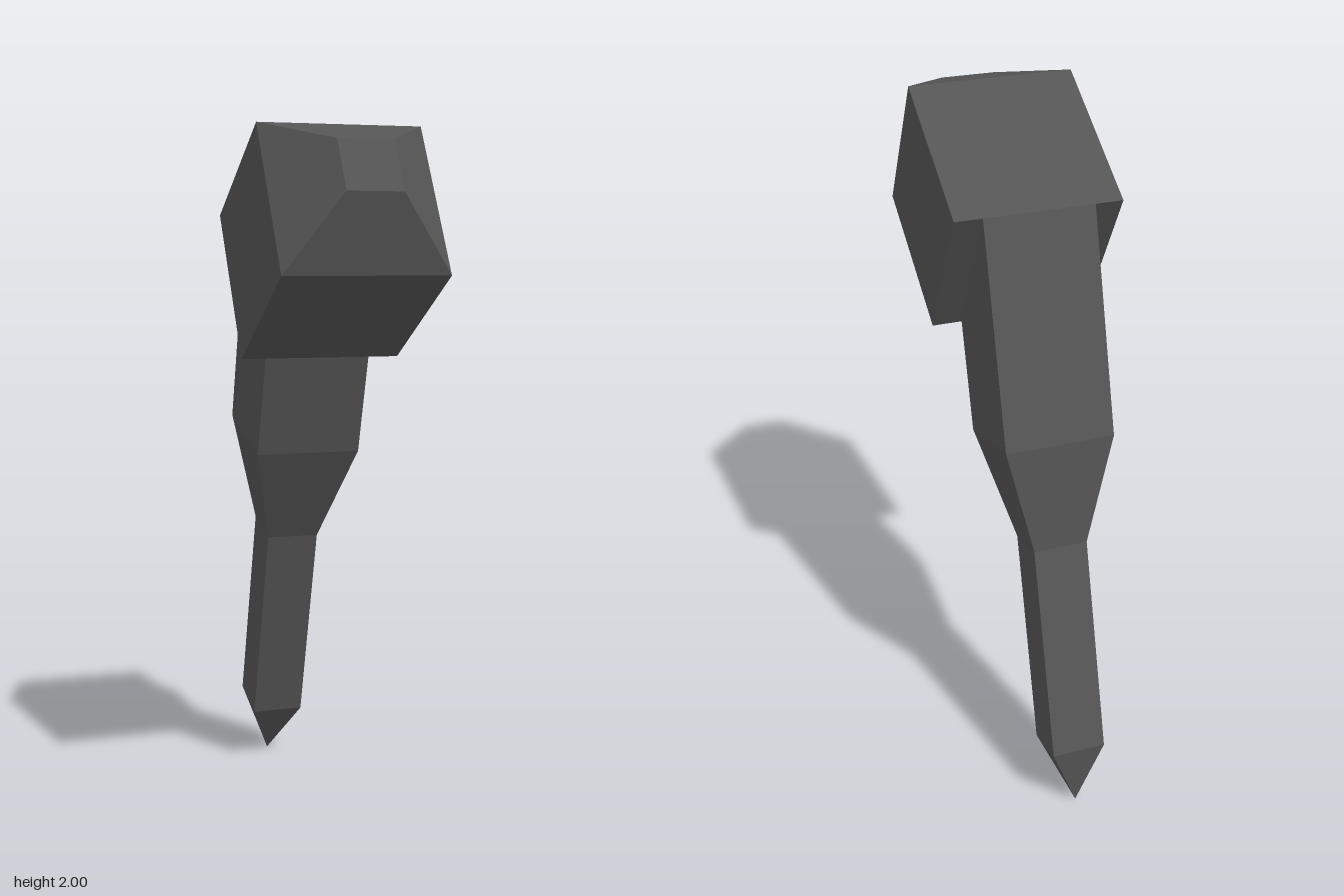
import * as THREE from 'three';

// Lofts rectangular sections [zA, yA, zB, yB, halfWidth] into a closed, hard-edged solid.
function loft(sections) {
  const rings = sections.map(([za, ya, zb, yb, w]) => [
    [w, ya, za], [w, yb, zb], [-w, yb, zb], [-w, ya, za],
  ]);
  const pos = [];
  const quad = (a, b, c, d) => {
    for (const tri of [[a, b, c], [a, c, d]]) {
      // skip triangles collapsed at a point
      const keys = new Set(tri.map((p) => p.map((v) => v + 0).join()));
      if (keys.size === 3) pos.push(...tri.flat());
    }
  };
  for (let i = 0; i < rings.length - 1; i++) {
    for (let j = 0; j < 4; j++) {
      const k = (j + 1) % 4;
      quad(rings[i][j], rings[i][k], rings[i + 1][k], rings[i + 1][j]);
    }
  }
  const first = rings[0], last = rings[rings.length - 1];
  quad(first[3], first[2], first[1], first[0]);
  quad(last[0], last[1], last[2], last[3]);
  const g = new THREE.BufferGeometry();
  g.setAttribute('position', new THREE.Float32BufferAttribute(pos, 3));
  g.computeVertexNormals();
  return g;
}

export function createModel() {
  const group = new THREE.Group();
  group.name = 'jointedLimb';
  const darkGrey = new THREE.MeshStandardMaterial({ color: 0x555555 });
  darkGrey.name = 'darkGrey';

  const add = (name, sections) => {
    const mesh = new THREE.Mesh(loft(sections), darkGrey);
    mesh.name = name;
    group.add(mesh);
  };

  // Tilted block with a tapered nose: bottom edge, top edge, half width
  add('upperBlock', [
    [0.075, 1.355, -0.165, 1.765, 0.236],
    [0.485, 1.593, 0.247, 2.0, 0.236],
    [0.542, 1.808, 0.463, 1.945, 0.079],
  ]);

  // Limb running down and back to a point: back edge, front edge, half width
  add('lowerLimb', [
    [-0.165, 1.765, 0.057, 1.386, 0.157],
    [-0.346, 1.153, -0.043, 1.063, 0.157],
    [-0.36, 0.823, -0.21, 0.78, 0.079],
    [-0.541, 0.212, -0.39, 0.167, 0.079],
    [-0.52, 0, -0.52, 0, 0],
  ]);

  return group;
}
